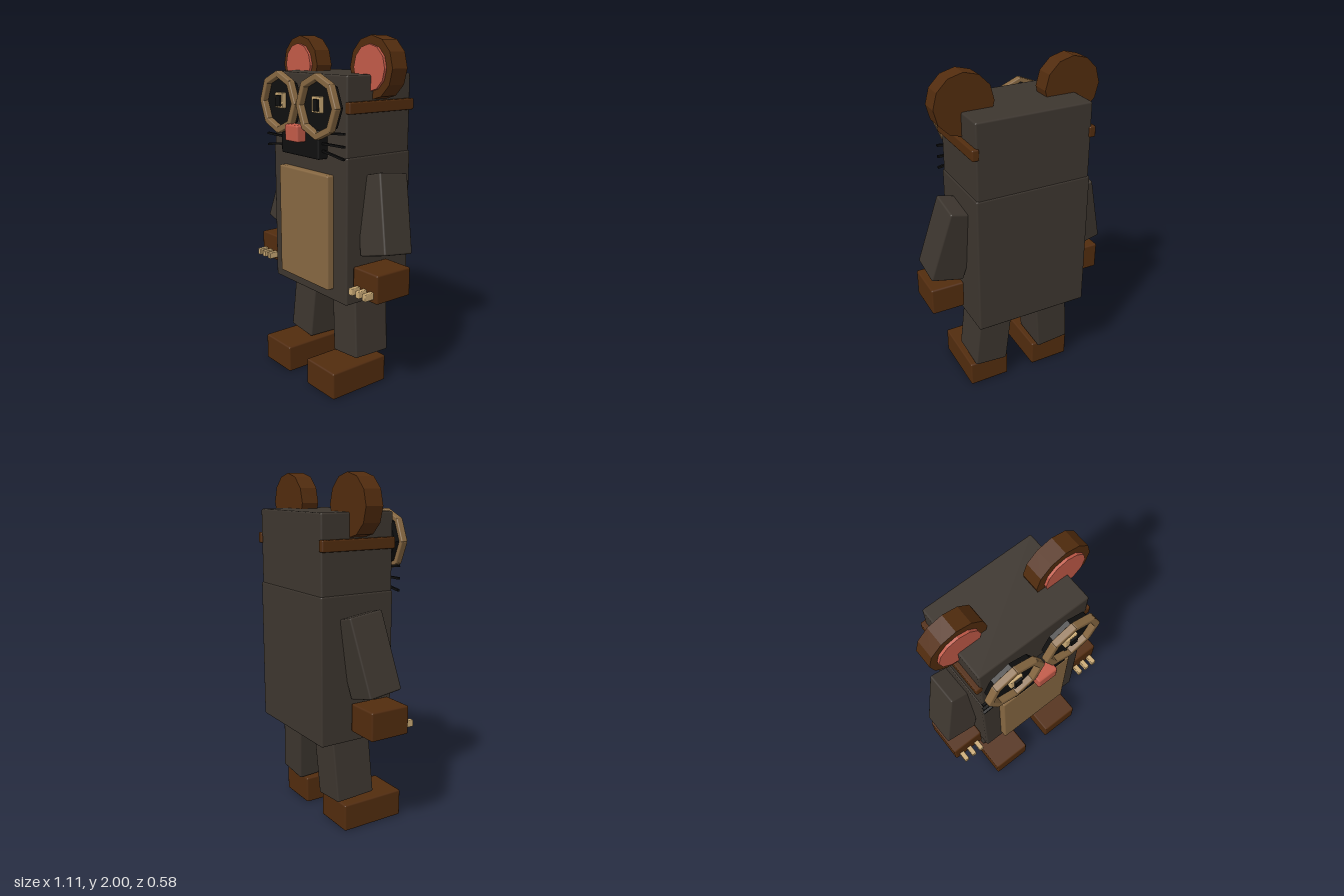
import * as THREE from 'three';
import { RoundedBoxGeometry } from 'three/addons/geometries/RoundedBoxGeometry.js';

const material = (name, color) => {
  const m = new THREE.MeshStandardMaterial({ color });
  m.name = name;
  return m;
};

export function createModel() {
  const model = new THREE.Group();
  model.name = 'mouseWithGlasses';
  const fur = material('dark fur', 0x3d362f);
  const brown = material('brown', 0x522c0e);
  const tan = material('tan', 0x876842);
  const pink = material('pink', 0xc25a48);
  const black = material('black', 0x0f0f0f);
  const cream = material('cream', 0xcbab76);

  const add = (name, geometry, mat, x, y, z, parent = model) => {
    const mesh = new THREE.Mesh(geometry, mat);
    mesh.name = name;
    mesh.position.set(x, y, z);
    parent.add(mesh);
    return mesh;
  };
  // Softly bevelled block given by its extents
  const block = (name, mat, [x0, x1], [y0, y1], [z0, z1], bevel = 0.01) =>
    add(name, new RoundedBoxGeometry(x1 - x0, y1 - y0, z1 - z0, 1, bevel), mat,
      (x0 + x1) / 2, (y0 + y1) / 2, (z0 + z1) / 2);
  // Faceted disc facing +z
  const disc = (name, mat, r, sides, x, y, z0, z1) => {
    const g = new THREE.CylinderGeometry(r, r, z1 - z0, sides).toNonIndexed();
    g.rotateX(Math.PI / 2);
    g.computeVertexNormals();
    return add(name, g, mat, x, y, (z0 + z1) / 2);
  };

  // Torso, head and face
  block('torso', fur, [-0.342, 0.342], [0.55, 1.375], [-0.285, 0.173]);
  block('head', fur, [-0.335, 0.335], [1.36, 1.8], [-0.28, 0.17]);
  block('bellyPanel', tan, [-0.232, 0.228], [0.617, 1.268], [0.15, 0.215]);
  block('muzzle', black, [-0.174, 0.174], [1.35, 1.51], [0.15, 0.235]);
  block('nose', pink, [-0.06, 0.06], [1.435, 1.527], [0.22, 0.29]);

  for (const s of [-1, 1]) {
    const side = s > 0 ? 'left' : 'right';
    const span = (a, b) => (s > 0 ? [a, b] : [-b, -a]);

    // Ears
    disc(side + 'Ear', brown, 0.167, 12, s * 0.315, 1.833, -0.11, -0.005);
    disc(side + 'InnerEar', pink, 0.122, 12, s * 0.317, 1.833, -0.02, 0.01);

    // Glasses: lens, eight-piece rim and temple
    const cx = s * 0.178, cy = 1.635;
    disc(side + 'Lens', black, 0.15, 8, cx, cy, 0.19, 0.225);
    const rim = new THREE.Group();
    rim.name = side + 'Rim';
    rim.position.set(cx, cy, 0.24);
    model.add(rim);
    for (let i = 0; i < 8; i++) {
      const a = (i + 0.5) * Math.PI / 4;
      const piece = add('rimPiece', new RoundedBoxGeometry(0.035, 0.134, 0.04, 1, 0.006), tan,
        0.145 * Math.cos(a), 0.145 * Math.sin(a), 0, rim);
      piece.rotation.z = a;
    }
    block(side + 'Temple', brown, span(0.32, 0.36), [1.603, 1.665], [-0.288, 0.172], 0.008);

    // Eye with a pupil looking slightly to the model's left
    block(side + 'Eye', cream, [s * 0.172 - 0.037, s * 0.172 + 0.037], [1.602, 1.688], [0.215, 0.25], 0.005);
    const px = s * 0.175 + 0.008;
    block(side + 'Pupil', black, [px - 0.021, px + 0.021], [1.612, 1.675], [0.245, 0.262], 0.003);

    // Whiskers
    for (const [inner, outer] of [[1.49, 1.507], [1.437, 1.439], [1.4, 1.373]]) {
      const dx = 0.2, dy = outer - inner;
      const w = add(side + 'Whisker', new THREE.BoxGeometry(Math.hypot(dx, dy), 0.012, 0.014), black,
        s * 0.255, (inner + outer) / 2, 0.203);
      w.rotation.z = s * Math.atan2(dy, dx);
    }

    // Arm, hand and claws
    const arm = add(side + 'Arm', new RoundedBoxGeometry(0.2, 0.44, 0.205, 1, 0.01), fur, s * 0.4, 1.05, -0.04);
    arm.rotation.set(-0.134, 0, s * 0.26);
    block(side + 'Hand', brown, span(0.355, 0.553), [0.615, 0.778], [-0.105, 0.138]);
    for (const x of [0.4, 0.455, 0.51]) {
      block(side + 'Claw', cream, span(x - 0.015, x + 0.015), [0.638, 0.678], [0.12, 0.195], 0.005);
    }

    // Leg and foot
    const leg = add(side + 'Leg', new RoundedBoxGeometry(0.207, 0.44, 0.243, 1, 0.01), fur, s * 0.197, 0.4, -0.052);
    leg.rotation.set(-0.042, 0, s * 0.09);
    block(side + 'Foot', brown, span(0.088, 0.34), [0.005, 0.165], [-0.13, 0.262]);
  }
  return model;
}
